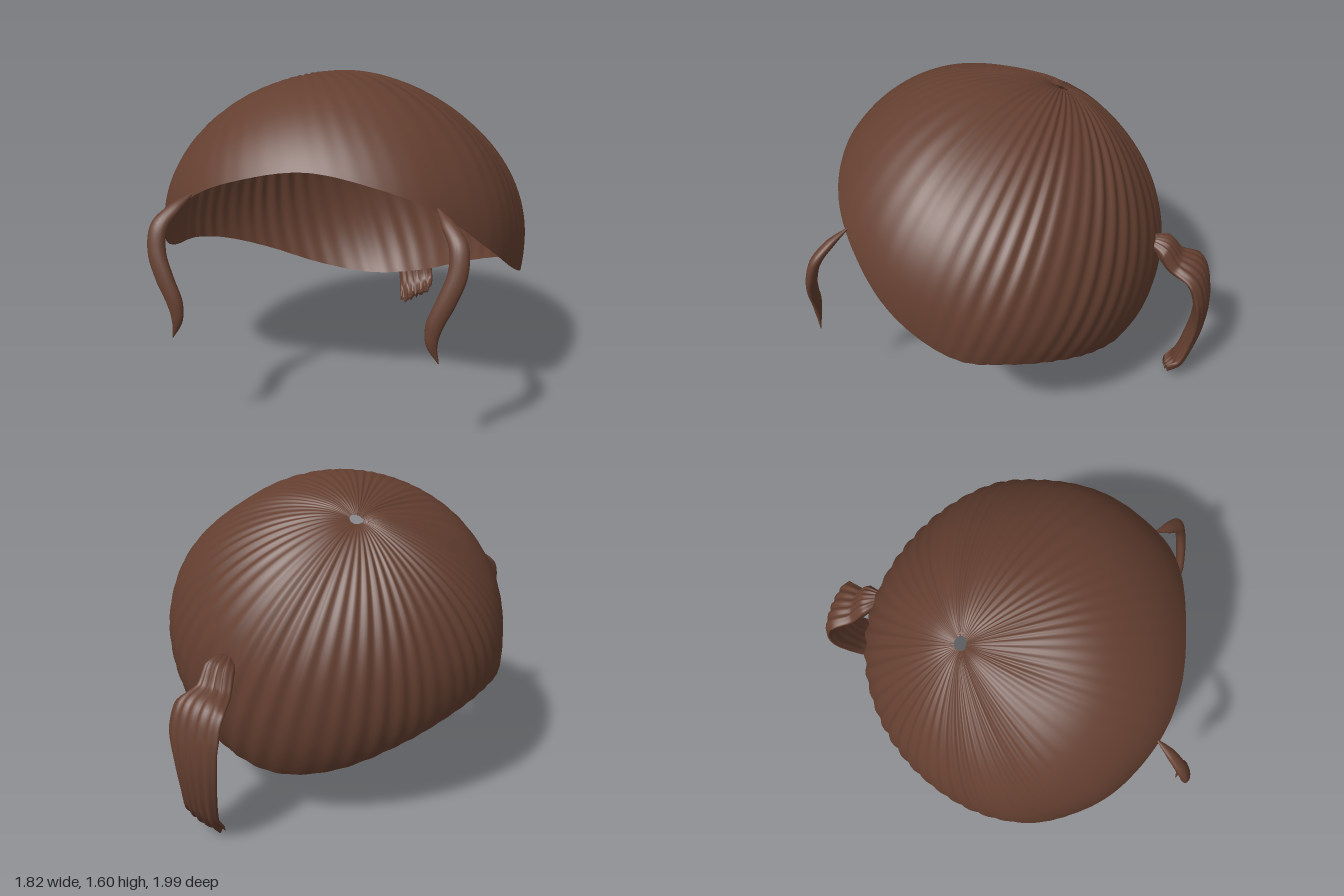
import * as THREE from 'three';

const V = (x, y, z) => new THREE.Vector3(x, y, z);
const CENTER = V(0, 0.8, 0.1);

// Skull radius every 30 degrees around the x axis, starting at the front
const RADII = [0.91, 0.912, 0.868, 0.797, 0.783, 0.782, 0.816, 0.865, 0.89, 0.89, 0.89, 0.9];

function profileRadius(angle) {
  const f = ((angle / (Math.PI * 2) + 1) % 1) * 12;
  const i = Math.floor(f), t = f - i;
  const [a, b, c, d] = [11, 0, 1, 2].map(k => RADII[(i + k) % 12]);
  return b + 0.5 * t * (c - a + t * (2 * a - 5 * b + 4 * c - d + t * (3 * (b - c) + d - a)));
}

function skullRadius(dir) {
  const r = profileRadius(Math.atan2(dir.y, dir.z));
  const corner = dir.z > 0 ? 0.2 * dir.x ** 2 * dir.z ** 2 : 0;
  return THREE.MathUtils.lerp(r, 0.9, dir.x ** 4) + corner;
}

// Grid surface closed around each ring, optionally capped at both ends
function gridGeometry(rings, capped) {
  const n = rings[0].length, pos = [], index = [];
  rings.forEach(ring => ring.forEach(p => pos.push(p.x, p.y, p.z)));
  for (let i = 0; i < rings.length - 1; i++) {
    for (let j = 0; j < n; j++) {
      const a = i * n + j, b = i * n + (j + 1) % n;
      index.push(a, b, a + n, b, b + n, a + n);
    }
  }
  if (capped) {
    [0, rings.length - 1].forEach((r, end) => {
      const mid = rings[r].reduce((s, p) => s.add(p), V(0, 0, 0)).divideScalar(n);
      const m = pos.length / 3;
      pos.push(mid.x, mid.y, mid.z);
      for (let j = 0; j < n; j++) {
        const a = r * n + j, b = r * n + (j + 1) % n;
        if (end) index.push(a, b, m); else index.push(b, a, m);
      }
    });
  }
  const g = new THREE.BufferGeometry();
  g.setAttribute('position', new THREE.Float32BufferAttribute(pos, 3));
  g.setIndex(index);
  g.computeVertexNormals();
  return g;
}

// Hair shell: strands run from an off-centre crown whorl down to the rim
function capGeometry() {
  const half = [[0.3, 1.22, 0.865], [0.53, 1.12, 0.79], [0.76, 0.9, 0.6], [0.86, 0.75, 0.4],
    [0.9, 0.665, 0.2], [0.875, 0.64, 0], [0.78, 0.58, -0.2], [0.59, 0.47, -0.4], [0.3, 0.335, -0.55]];
  const points = [V(0, 1.275, 0.88), ...half.map(p => V(...p)), V(0, 0.28, -0.6),
    ...half.slice().reverse().map(([x, y, z]) => V(-x, y, z))];
  const rim = new THREE.CatmullRomCurve3(points, true);
  const whorl = V(-0.27, 1.52, -0.18).sub(CENTER).normalize();
  const N = 360, M = 48, rings = [];
  for (let i = 0; i <= M; i++) {
    const t = 0.025 + 0.975 * i / M, ring = [];
    for (let j = 0; j < N; j++) {
      const u = j / N;
      const edge = rim.getPoint(u).sub(CENTER);
      const edgeR = edge.length();
      edge.normalize();
      const angle = whorl.angleTo(edge);
      const dir = whorl.clone().multiplyScalar(Math.sin((1 - t) * angle))
        .addScaledVector(edge, Math.sin(t * angle)).divideScalar(Math.sin(angle));
      let r = skullRadius(dir) * (1 + (edgeR / skullRadius(edge) - 1) * t ** 4);
      // strand grooves, strongest toward the back
      const back = 1 - THREE.MathUtils.smoothstep(dir.z, -0.35, 0.6);
      const fade = Math.sin(Math.PI * Math.min(t * 0.9, 1)) * (0.12 + 0.88 * back);
      const phase = u * Math.PI * 2;
      r += 0.0075 * fade * Math.sin(56 * phase + 1.5 * Math.sin(5 * phase)) * (0.75 + 0.25 * Math.sin(9 * phase));
      // dimple at the whorl
      r -= 0.025 * Math.exp(-((t / 0.06) ** 2));
      ring.push(dir.multiplyScalar(r).add(CENTER));
    }
    rings.push(ring);
  }
  return gridGeometry(rings, false);
}

// Linear lookup along a short list of values
function sample(list, t) {
  const f = t * (list.length - 1), i = Math.min(Math.floor(f), list.length - 2);
  return THREE.MathUtils.lerp(list[i], list[i + 1], f - i);
}

// Flattened lock of hair swept along a path
function lockGeometry({ path, widths, depths, side, steps, sides, groove = 0, tip }) {
  const curve = new THREE.CatmullRomCurve3(path.map(p => V(...p)));
  const rings = [];
  for (let i = 0; i <= steps; i++) {
    const t = i / steps, c = curve.getPoint(t), tan = curve.getTangent(t);
    const w = side.clone().addScaledVector(tan, -side.dot(tan)).normalize();
    const d = V(0, 0, 0).crossVectors(tan, w);
    const ring = [];
    for (let j = 0; j < sides; j++) {
      const a = j / sides * Math.PI * 2, across = Math.cos(a);
      const thick = Math.sin(a) * sample(depths, t) * (1 + groove * Math.cos(across * 17));
      const p = c.clone().addScaledVector(w, across * sample(widths, t)).addScaledVector(d, thick);
      if (tip) tip(p, across, t);
      ring.push(p);
    }
    rings.push(ring);
  }
  return gridGeometry(rings, true);
}

export function createModel() {
  const model = new THREE.Group();
  model.name = 'hair';
  const brown = new THREE.MeshStandardMaterial({ color: 0x643f30, side: THREE.DoubleSide });
  brown.name = 'brownHair';
  const add = (name, geometry) => {
    const mesh = new THREE.Mesh(geometry, brown);
    mesh.name = name;
    model.add(mesh);
  };

  add('hairCap', capGeometry());

  // Ponytail with a ragged end
  add('ponytail', lockGeometry({
    path: [[0.2, 0.88, -0.66], [0.2, 0.85, -0.72], [0.2, 0.765, -0.79], [0.215, 0.715, -0.89],
      [0.225, 0.6, -0.935], [0.22, 0.44, -0.945], [0.23, 0.27, -0.915], [0.25, 0.14, -0.865], [0.26, 0.075, -0.8]],
    widths: [0.04, 0.085, 0.105, 0.15, 0.155, 0.135, 0.115, 0.108, 0.1],
    depths: [0.025, 0.045, 0.04, 0.035, 0.034, 0.034, 0.034, 0.03, 0.015],
    side: V(0.96, 0, 0.22), steps: 64, sides: 72, groove: 0.18,
    tip: (p, across, t) => {
      const k = THREE.MathUtils.smoothstep(t, 0.8, 1);
      p.y += k * (0.04 * across - 0.02 * Math.cos(across * 17));
    },
  }));

  // Mirrored face-framing locks
  for (const [name, s] of [['leftFrontLock', 1], ['rightFrontLock', -1]]) {
    add(name, lockGeometry({
      path: [[0.545, 1.125, 0.765], [0.6, 1.075, 0.84], [0.652, 1.005, 0.905], [0.655, 0.9, 0.94],
        [0.615, 0.785, 0.963], [0.57, 0.68, 0.975], [0.562, 0.6, 0.98], [0.592, 0.51, 0.972]]
        .map(([x, y, z]) => [x * s, y, z]),
      widths: [0.004, 0.03, 0.041, 0.042, 0.041, 0.037, 0.026, 0.002],
      depths: [0.004, 0.02, 0.026, 0.026, 0.025, 0.023, 0.016, 0.002],
      side: V(1, 0, 0), steps: 40, sides: 16,
    }));
  }
  return model;
}
